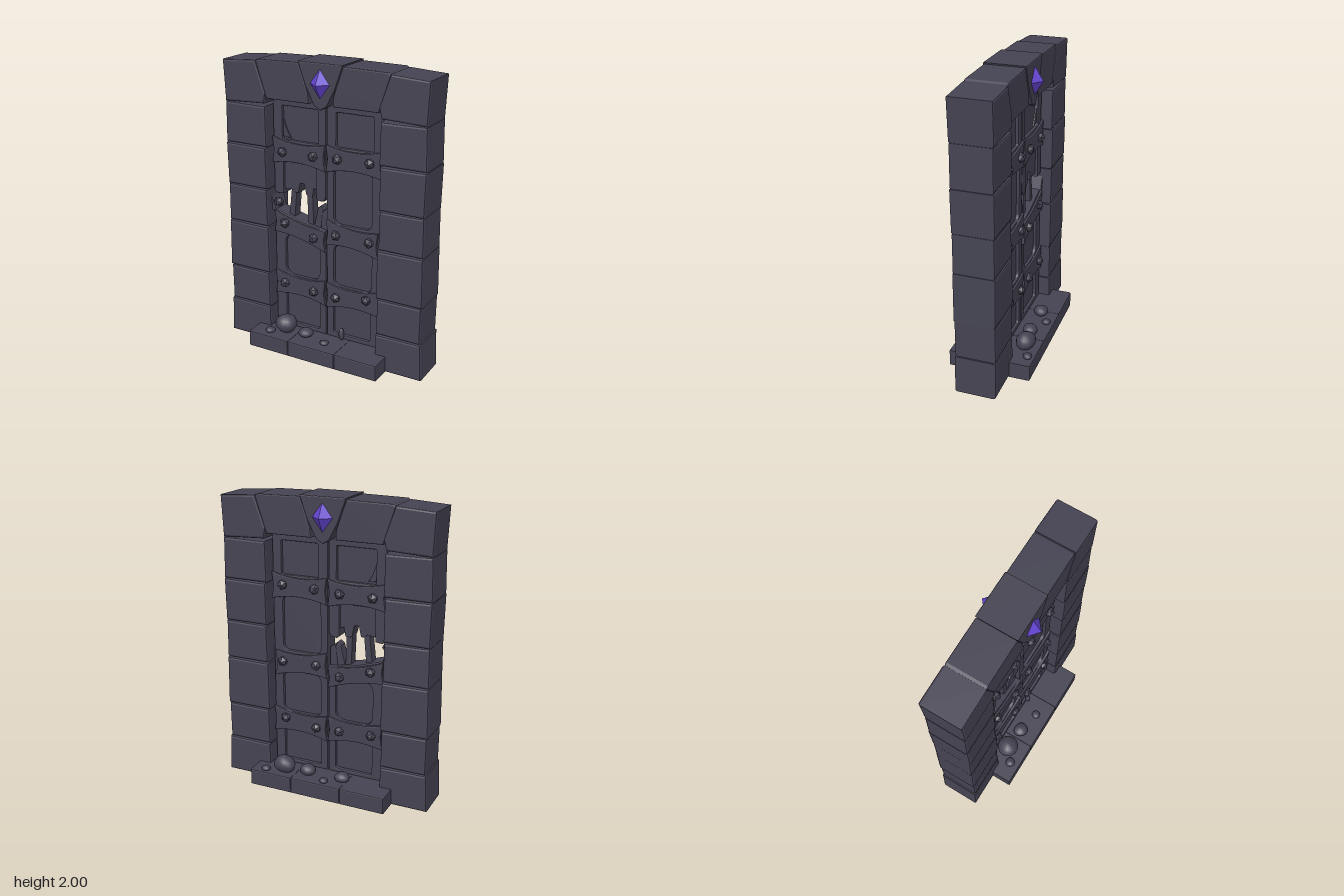
import * as THREE from 'three';

export function createModel() {
  const model = new THREE.Group();
  model.name = 'ruinedGate';
  const stone = new THREE.MeshStandardMaterial({ color: 0x454352 });
  stone.name = 'darkStone';
  const violet = new THREE.MeshStandardMaterial({ color: 0x6444d0 });
  violet.name = 'violetGem';

  const add = (name, geometry, material = stone, parent = model) => {
    const mesh = new THREE.Mesh(geometry, material);
    mesh.name = name;
    parent.add(mesh);
    return mesh;
  };
  const group = (name) => {
    const g = new THREE.Group();
    g.name = name;
    model.add(g);
    return g;
  };
  const toShape = (pts) => new THREE.Shape(pts.map(([x, y]) => new THREE.Vector2(x, y)));

  // Bevelled plate from an outline in x, y, filling z0 to z1
  const plate = (shape, z0, z1, bevel = 0.014) => {
    const g = new THREE.ExtrudeGeometry(shape, {
      depth: z1 - z0 - 2 * bevel, bevelEnabled: true, bevelThickness: bevel,
      bevelSize: bevel, bevelOffset: -bevel, bevelSegments: 2, curveSegments: 8,
    });
    return g.translate(0, 0, z0 + bevel);
  };
  const rect = (x0, y0, x1, y1) => [[x0, y0], [x1, y0], [x1, y1], [x0, y1]];

  // Columns: [bottom, top, inner x, outer x bottom, outer x top]
  const rows = [
    [0, 0.258, 0.405, 0.74, 0.73], [0.26, 0.514, 0.41, 0.722, 0.725],
    [0.516, 0.852, 0.405, 0.73, 0.725], [0.855, 1.118, 0.415, 0.725, 0.722],
    [1.12, 1.407, 0.415, 0.722, 0.728], [1.41, 1.687, 0.41, 0.727, 0.722],
  ];
  for (const s of [-1, 1]) {
    const column = group(s > 0 ? 'leftColumn' : 'rightColumn');
    rows.forEach(([y0, y1, xi, xb, xt], i) => {
      const d = i % 2 ? 0.137 : 0.14;
      const pts = [[xi, y0], [xb, y0], [xt, y1], [xi + 0.004, y1 - 0.004]];
      add('columnBlock', plate(toShape(pts.map(([x, y]) => [s * x, y])), -d, d), stone, column);
    });
    // Lintel stones beside the keystone
    const corner = [[0.42, 1.70], [0.72, 1.688], [0.733, 1.962], [0.478, 1.978], [0.405, 1.77]];
    const arch = [[0.085, 1.735], [0.40, 1.735], [0.412, 1.77], [0.478, 1.972], [0.46, 1.985], [0.158, 1.99], [0.105, 1.845], [0.09, 1.80]];
    add('cornerStone', plate(toShape(corner.map(([x, y]) => [s * x, y])), -0.14, 0.14), stone, column);
    add('archStone', plate(toShape(arch.map(([x, y]) => [s * x, y])), -0.135, 0.135, 0.008), stone, column);
  }
  const key = [[-0.16, 2], [-0.104, 1.845], [-0.045, 1.73], [0, 1.705], [0.045, 1.73], [0.104, 1.845], [0.16, 2]];
  add('keystone', plate(toShape(key), -0.14, 0.14, 0.008));

  // Gems on both faces of the keystone
  for (const s of [-1, 1]) {
    const gem = add('gem', new THREE.OctahedronGeometry(1), violet);
    gem.scale.set(0.07, 0.093, 0.058);
    gem.position.set(0, 1.87, s * 0.139);
  }

  // Threshold slabs
  const slabs = group('threshold');
  [[-0.495, -0.183], [-0.181, 0.177], [0.179, 0.487]].forEach(([a, b]) =>
    add('thresholdSlab', plate(toShape(rect(a, 0, b, 0.112)), -0.282, 0.282, 0.008), stone, slabs));

  // Door leaves: outline with panel openings, thinner panels inside them
  const door = group('door');
  const leaf = (name, outline, openings) => {
    const shape = toShape(outline);
    openings.forEach(([x0, y0, x1, y1, r]) => {
      const h = new THREE.Path();
      h.moveTo(x0 + r, y0);
      h.lineTo(x1 - r, y0); h.quadraticCurveTo(x1, y0, x1, y0 + r);
      h.lineTo(x1, y1 - r); h.quadraticCurveTo(x1, y1, x1 - r, y1);
      h.lineTo(x0 + r, y1); h.quadraticCurveTo(x0, y1, x0, y1 - r);
      h.lineTo(x0, y0 + r); h.quadraticCurveTo(x0, y0, x0 + r, y0);
      shape.holes.push(h);
      add('panel', plate(toShape(rect(x0 - 0.02, y0 - 0.02, x1 + 0.02, y1 + 0.02)), -0.04, 0.04, 0.004), stone, door);
    });
    add(name, plate(shape, -0.062, 0.062, 0.008), stone, door);
  };
  leaf('intactLeaf', rect(0.002, 0.11, 0.4, 1.737), [
    [0.07, 1.46, 0.335, 1.685, 0.01], [0.055, 0.94, 0.33, 1.32, 0.05],
    [0.055, 0.50, 0.335, 0.79, 0.05], [0.055, 0.14, 0.33, 0.36, 0.02],
  ]);
  leaf('brokenLeafBottom', [[-0.4, 0.11], [-0.004, 0.11], [-0.004, 0.87], [-0.2, 0.91], [-0.4, 0.97]], [
    [-0.32, 0.50, -0.055, 0.80, 0.07], [-0.32, 0.14, -0.055, 0.36, 0.02],
  ]);
  leaf('brokenLeafTop', [
    [-0.4, 1.737], [-0.4, 1.09], [-0.375, 1.08], [-0.33, 1.085], [-0.325, 1.31], [-0.08, 1.31],
    [-0.08, 1.09], [-0.06, 1.075], [-0.02, 1.08], [-0.004, 1.11], [-0.004, 1.737],
  ], [[-0.33, 1.46, -0.06, 1.685, 0.01]]);

  // Splintered panel and loose boards in the hole
  const torn = [
    [-0.34, 1.33], [-0.34, 1.14], [-0.32, 1.11], [-0.27, 1.12], [-0.25, 1.10], [-0.225, 1.10], [-0.21, 1.17],
    [-0.18, 1.17], [-0.165, 1.10], [-0.145, 1.085], [-0.115, 1.09], [-0.105, 1.15], [-0.07, 1.14], [-0.07, 1.33],
  ];
  add('tornPanel', plate(toShape(torn), -0.045, 0.045, 0.005), stone, door);
  const boards = [
    [[-0.305, 0.92], [-0.26, 0.91], [-0.24, 1.13], [-0.28, 1.15]],
    [[-0.155, 0.88], [-0.112, 0.87], [-0.12, 1.12], [-0.165, 1.12]],
    [[-0.115, 0.87], [-0.06, 0.86], [-0.04, 1.01], [-0.055, 1.04], [-0.08, 1.02]],
    [[-0.06, 0.86], [-0.004, 0.85], [-0.004, 1.0], [-0.025, 1.015], [-0.05, 0.99]],
  ];
  boards.forEach((b) => add('splinter', plate(toShape(b), -0.035, 0.035, 0.006), stone, door));
  const hinge = [[-0.46, 1.12], [-0.43, 1.09], [-0.385, 0.96], [-0.41, 0.95], [-0.44, 1.0]];
  add('tornHinge', plate(toShape(hinge), -0.07, 0.07, 0.008), stone, door);
  const crack = [[-0.33, 1.48], [-0.27, 1.47], [-0.30, 1.52], [-0.33, 1.60]];
  add('panelCrack', plate(toShape(crack), -0.05, 0.05, 0.004), stone, door);

  // Flared straps wrapping the leaves: [x0, x1, y at x0, y at x1]
  const straps = [
    [-0.402, -0.003, 1.385, 1.375], [0.003, 0.402, 1.38, 1.385],
    [-0.397, -0.003, 0.885, 0.80], [0.003, 0.385, 0.875, 0.845],
    [-0.397, -0.003, 0.435, 0.425], [0.003, 0.402, 0.42, 0.435],
  ];
  straps.forEach(([x0, x1, ya, yb], i) => {
    const xm = (x0 + x1) / 2, ym = (ya + yb) / 2;
    const h = i === 2 ? 0.075 : 0.09;
    const s = new THREE.Shape();
    s.moveTo(x0, ya - h);
    s.quadraticCurveTo(xm, ym - 0.035, x1, yb - h);
    s.lineTo(x1 - 0.012, yb);
    s.lineTo(x1, yb + h);
    s.quadraticCurveTo(xm, ym + 0.035, x0, ya + h);
    s.lineTo(x0 + 0.012, ya);
    add('strap', plate(s, -0.078, 0.078, 0.006), stone, door);
  });

  // Faceted rivets on both faces
  const rivets = [
    [-0.32, 1.38], [-0.09, 1.38], [0.09, 1.39], [0.32, 1.395], [-0.31, 0.885], [-0.09, 0.815],
    [0.08, 0.87], [0.325, 0.865], [-0.32, 0.44], [-0.09, 0.425], [0.08, 0.42], [0.31, 0.455],
  ];
  const rivetGeometry = new THREE.IcosahedronGeometry(0.036, 0);
  rivets.forEach(([x, y], i) => {
    for (const s of [-1, 1]) {
      const r = add('rivet', rivetGeometry, stone, door);
      r.position.set(x, y, s * 0.08);
      r.rotation.set(0.55, 0, i * 0.9);
    }
  });
  const looseRivet = add('looseRivet', rivetGeometry, stone, door);
  looseRivet.position.set(-0.37, 1.02, 0.06);

  // Rubble on the threshold: [x, y, z, rx, ry, rz]
  const rubble = group('rubble');
  const rocks = [
    [-0.28, 0.165, 0.14, 0.077, 0.063, 0.075], [-0.115, 0.14, 0.15, 0.055, 0.03, 0.05],
    [-0.365, 0.123, 0.21, 0.034, 0.02, 0.034], [0.05, 0.12, 0.185, 0.03, 0.018, 0.03],
    [0.27, 0.155, -0.185, 0.08, 0.06, 0.065], [0.39, 0.12, -0.235, 0.03, 0.02, 0.03],
    [0.105, 0.135, -0.16, 0.055, 0.04, 0.05], [-0.045, 0.12, -0.23, 0.03, 0.02, 0.03],
    [-0.15, 0.135, -0.16, 0.052, 0.035, 0.05], [0.12, 0.15, 0.07, 0.018, 0.045, 0.02],
  ];
  rocks.forEach(([x, y, z, rx, ry, rz], i) => {
    const g = new THREE.SphereGeometry(1, 14, 10);
    const p = g.attributes.position;
    for (let k = 0; k < p.count; k++) {
      const a = p.getX(k), b = p.getY(k), c = p.getZ(k);
      const f = 1 + 0.07 * Math.sin(3 * a + i) * Math.cos(2 * c - i + b);
      p.setXYZ(k, a * f * rx, b * f * ry, c * f * rz);
    }
    g.computeVertexNormals();
    add('rock', g, stone, rubble).position.set(x, y, z);
  });

  return model;
}
